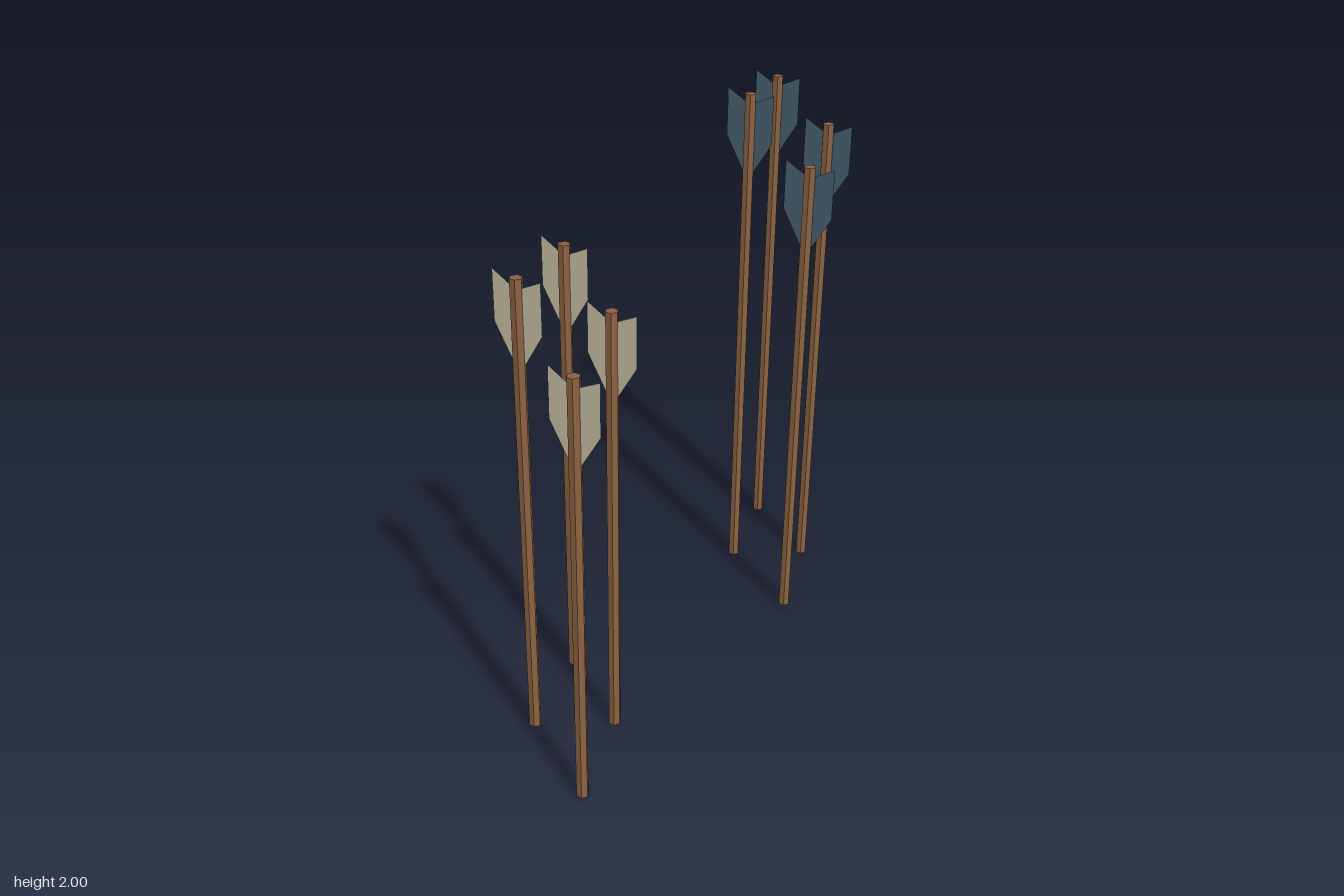
import * as THREE from 'three';

const wood = new THREE.MeshStandardMaterial({ color: 0x8b6242, flatShading: true });
wood.name = 'wood';
const cream = new THREE.MeshStandardMaterial({ color: 0xc9c0a4, side: THREE.DoubleSide });
cream.name = 'creamFeather';
const blue = new THREE.MeshStandardMaterial({ color: 0x4a6373, side: THREE.DoubleSide });
blue.name = 'blueFeather';

const RADIUS = 0.022;
const LEAN = 0.052; // sideways offset of the tip

// One vane in the YZ plane; origin at the shaft's top end
function vaneGeometry(side) {
  const shape = new THREE.Shape([
    [0, -0.042], [0.098, 0.007], [0.098, -0.172], [0.018, -0.302], [0, -0.302],
  ].map(([z, y]) => new THREE.Vector2(z * side, y)));
  return new THREE.ShapeGeometry(shape).rotateY(-Math.PI / 2);
}

// A hexagonal shaft with two opposite vanes, standing on its lower end
function makeArrow(length, featherMaterial) {
  const arrow = new THREE.Group();
  const shaft = new THREE.Mesh(
    new THREE.CylinderGeometry(RADIUS, RADIUS, length, 6).translate(0, length / 2, 0), wood);
  shaft.name = 'shaft';
  arrow.add(shaft);
  for (const side of [1, -1]) {
    const vane = new THREE.Mesh(vaneGeometry(side), featherMaterial);
    vane.name = side > 0 ? 'frontVane' : 'backVane';
    vane.position.y = length;
    arrow.add(vane);
  }
  arrow.rotation.z = -Math.atan(LEAN / length);
  return arrow;
}

export function createModel() {
  const model = new THREE.Group();
  model.name = 'arrows';

  // Offsets inside a cluster: x, z, length
  const layout = [
    [0, 0.23, 1.6], [0.174, -0.13, 1.75], [0.347, 0.1, 1.634], [0.521, -0.23, 1.715],
  ];
  const clusters = [
    { name: 'creamArrows', x: -0.939, extra: 0, material: cream },
    { name: 'blueArrows', x: 0.36, extra: 0.243, material: blue },
  ];
  for (const { name, x, extra, material } of clusters) {
    const cluster = new THREE.Group();
    cluster.name = name;
    layout.forEach(([dx, z, length], i) => {
      const arrow = makeArrow(length + extra, material);
      arrow.name = `arrow${i + 1}`;
      arrow.position.set(x + dx, 0, z);
      cluster.add(arrow);
    });
    model.add(cluster);
  }
  return model;
}
